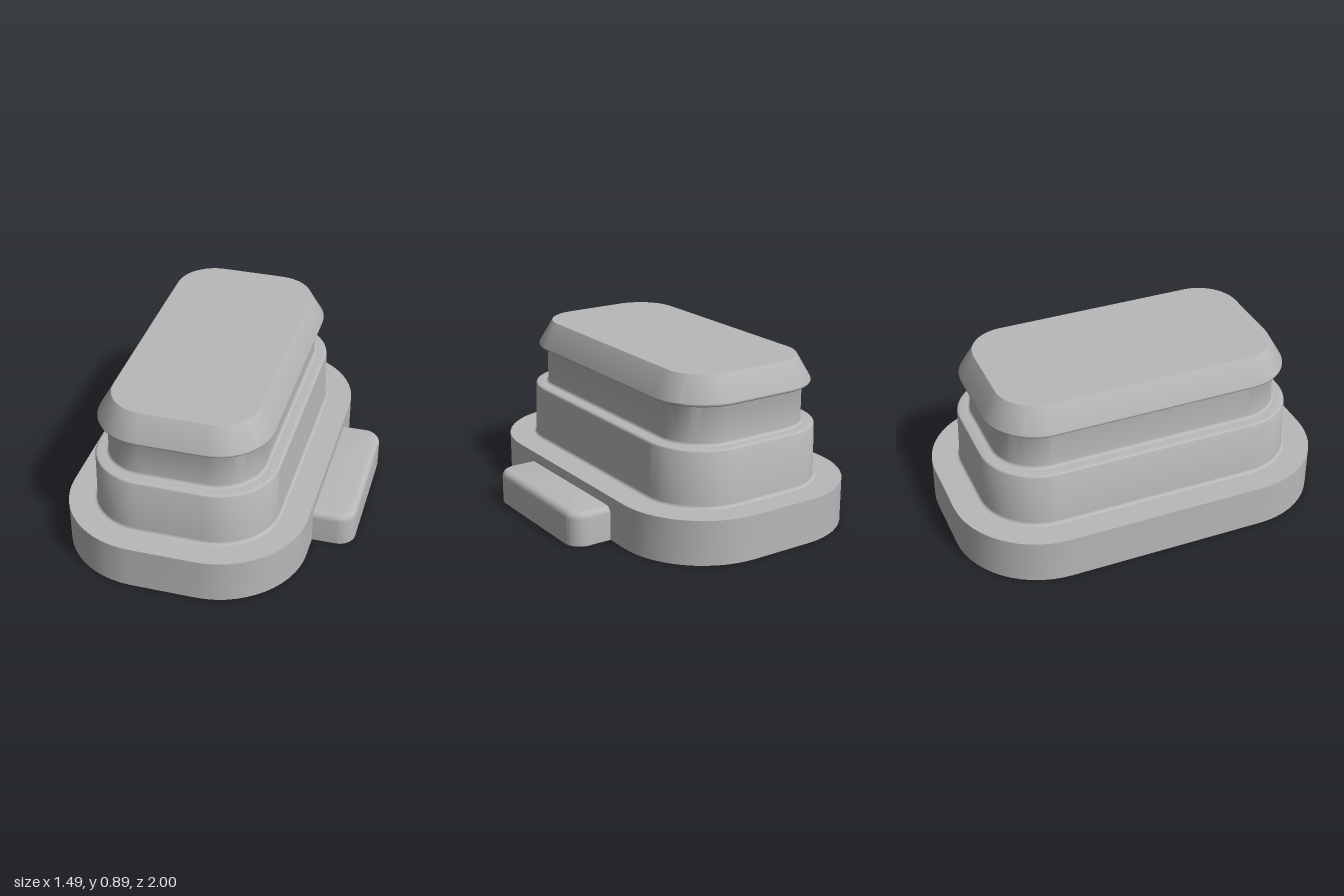
import * as THREE from 'three';
import { toCreasedNormals } from 'three/addons/utils/BufferGeometryUtils.js';

const CX = -0.11;                                  // centre line of the plug body
const BODY = { cx: CX, hx: 0.17, hz: 0.535 };      // corner centres shared by every tier
const TAB = { cx: 0.52, hx: 0.13, hz: 0.32 };

// Rounded-rectangle outline: corner centres pushed outwards by r
function outline({ cx, hx, hz }, r, seg = 14) {
  const pts = [];
  const corners = [[1, 1], [-1, 1], [-1, -1], [1, -1]];
  corners.forEach(([sx, sz], k) => {
    for (let i = 0; i <= seg; i++) {
      const a = (k + i / seg) * Math.PI / 2;
      pts.push([cx + sx * hx + r * Math.cos(a), sz * hz + r * Math.sin(a)]);
    }
  });
  return pts;
}

// Skin a list of [offset, height] sections, optionally closing the ends
function loft(frame, profile, top = false, bottom = false) {
  const rings = profile.map(([r, y]) => outline(frame, r).map(([x, z]) => [x, y, z]));
  const pos = [];
  const tri = (...p) => p.forEach(v => pos.push(...v));
  const n = rings[0].length;
  for (let j = 0; j < n; j++) {
    const k = (j + 1) % n;
    for (let i = 0; i < rings.length - 1; i++) {
      const a = rings[i][j], b = rings[i][k], c = rings[i + 1][j], d = rings[i + 1][k];
      tri(a, c, b);
      tri(b, c, d);
    }
    const last = rings[rings.length - 1];
    if (top) tri([frame.cx, last[0][1], 0], last[k], last[j]);
    if (bottom) tri([frame.cx, rings[0][0][1], 0], rings[0][j], rings[0][k]);
  }
  const g = new THREE.BufferGeometry();
  g.setAttribute('position', new THREE.Float32BufferAttribute(pos, 3));
  return toCreasedNormals(g, 0.6);
}

// Quarter-round sections about (r, y) from angle a to b in degrees
function arc(r, y, rad, a, b, seg = 5) {
  return Array.from({ length: seg + 1 }, (_, i) => {
    const t = THREE.MathUtils.degToRad(a + (b - a) * i / seg);
    return [r + rad * Math.cos(t), y + rad * Math.sin(t)];
  });
}

export function createModel() {
  const group = new THREE.Group();
  const grey = new THREE.MeshStandardMaterial({ color: 0xb8b8b8 });
  grey.name = 'grey';
  const add = (name, geometry) => {
    const mesh = new THREE.Mesh(geometry, grey);
    mesh.name = name;
    group.add(mesh);
    return mesh;
  };

  // Base flange with its upper ledge
  add('baseFlange', loft(BODY, [[0.465, 0], [0.465, 0.235], [0.33, 0.235]]));

  // Middle tier: fillet at the foot, rounded shoulder
  add('middleTier', loft(BODY, [
    ...arc(0.33, 0.25, 0.015, 270, 180),
    ...arc(0.296, 0.521, 0.014, 0, 90),
    [0.255, 0.535],
  ]));

  // Neck: fillets into the shoulder and the underside of the cap
  add('neck', loft(BODY, [
    ...arc(0.255, 0.55, 0.015, 270, 180),
    ...arc(0.252, 0.733, 0.012, 180, 90),
    [0.272, 0.745],
  ]));

  // Cap: rounded lip, sloping sides and flat top
  add('cap', loft(BODY, [
    ...arc(0.272, 0.758, 0.013, 270, 390, 7),
    [0.21, 0.89],
  ], true));

  // Side tab with softened top edge
  add('sideTab', loft(TAB, [
    [0.09, 0],
    ...arc(0.055, 0.145, 0.035, 0, 90),
  ], true, true));

  // Underside with two round holes
  const under = new THREE.Shape(outline(BODY, 0.465).map(([x, z]) => new THREE.Vector2(x, z)));
  const radius = 0.134, depth = 0.6;
  for (const z of [-0.446, 0.446]) {
    under.holes.push(new THREE.Path().absarc(CX, z, radius, 0, Math.PI * 2, true));
    const wall = new THREE.LatheGeometry([
      new THREE.Vector2(0, depth), new THREE.Vector2(radius, depth), new THREE.Vector2(radius, 0),
    ], 40);
    add('pinHole', toCreasedNormals(wall, 0.6)).position.set(CX, 0, z);
  }
  add('underside', new THREE.ShapeGeometry(under, 20).rotateX(Math.PI / 2));

  return group;
}
